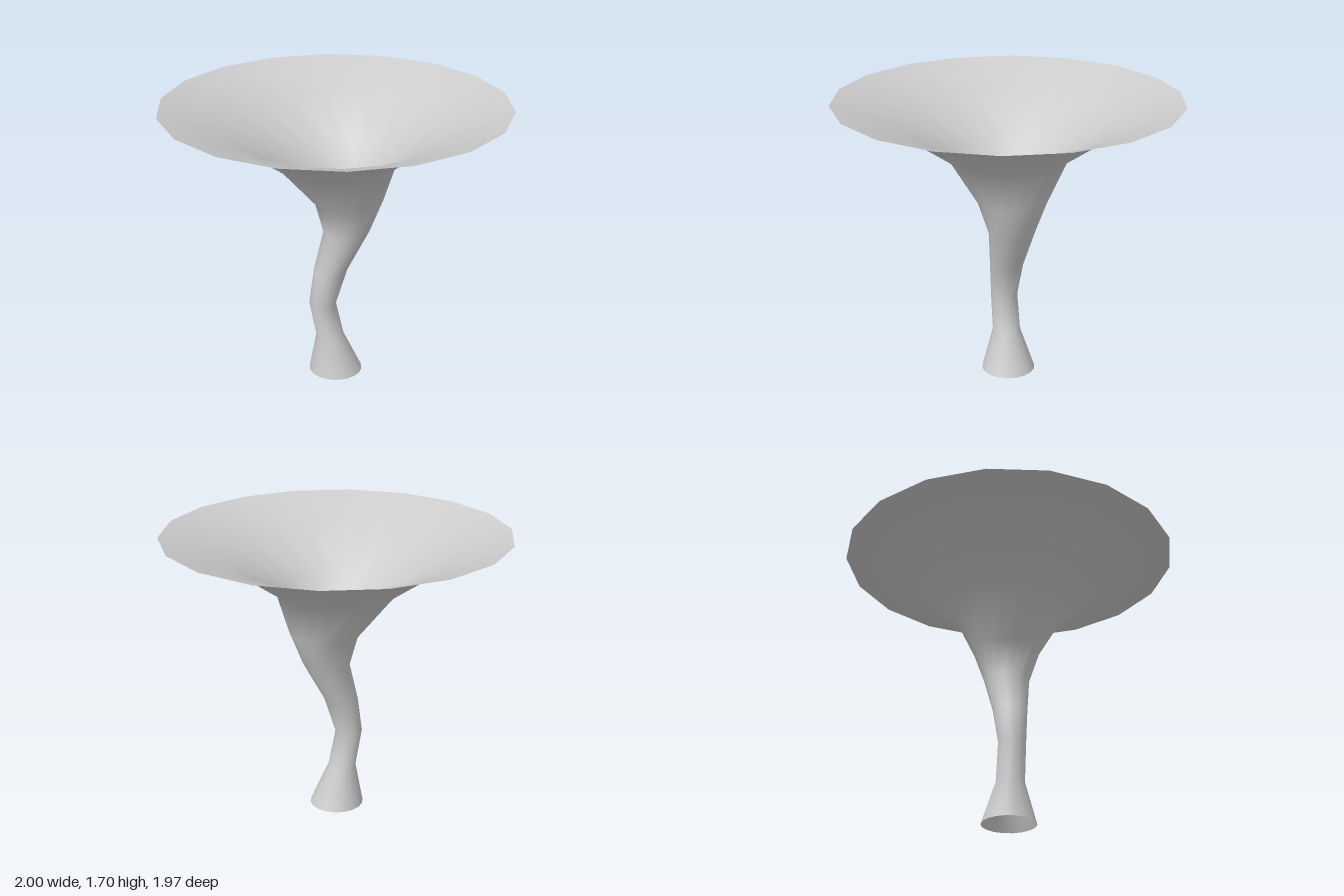
import * as THREE from 'three';

const SIDES = 18;

// Rings from foot to rim: height, centre x, radius, tilt (rise towards +x)
const RINGS = [
  [0, 0, 0.16, 0],
  [0.24, -0.035, 0.083, 0],
  [0.46, -0.08, 0.08, 0],
  [0.675, -0.03, 0.1, 0.005],
  [0.915, 0.065, 0.135, 0.003],
  [1.11, 0.08, 0.2, 0.01],
  [1.36, 0, 0.35, 0],
  [1.57, 0, 0.65, 0],
  [1.695, 0, 1, 0],
];

// Open skin through the rings, seam shared so normals stay smooth
function loft(rings, sides) {
  const positions = [];
  const index = [];
  rings.forEach(([y, cx, r, tilt], i) => {
    for (let j = 0; j < sides; j++) {
      const a = (j / sides) * Math.PI * 2;
      positions.push(cx + r * Math.cos(a), y + tilt * Math.cos(a), r * Math.sin(a));
      if (i === rings.length - 1) continue;
      const p = i * sides + j;
      const q = i * sides + ((j + 1) % sides);
      index.push(p, p + sides, q, q, p + sides, q + sides);
    }
  });
  const geometry = new THREE.BufferGeometry();
  geometry.setAttribute('position', new THREE.Float32BufferAttribute(positions, 3));
  geometry.setIndex(index);
  geometry.computeVertexNormals();
  return geometry;
}

export function createModel() {
  const group = new THREE.Group();
  group.name = 'funnel';

  // Bent stem flaring into a wide open bowl
  const material = new THREE.MeshStandardMaterial({ color: 0xcccccc, side: THREE.DoubleSide });
  const skin = new THREE.Mesh(loft(RINGS, SIDES), material);
  skin.name = 'funnelSkin';
  group.add(skin);
  return group;
}
